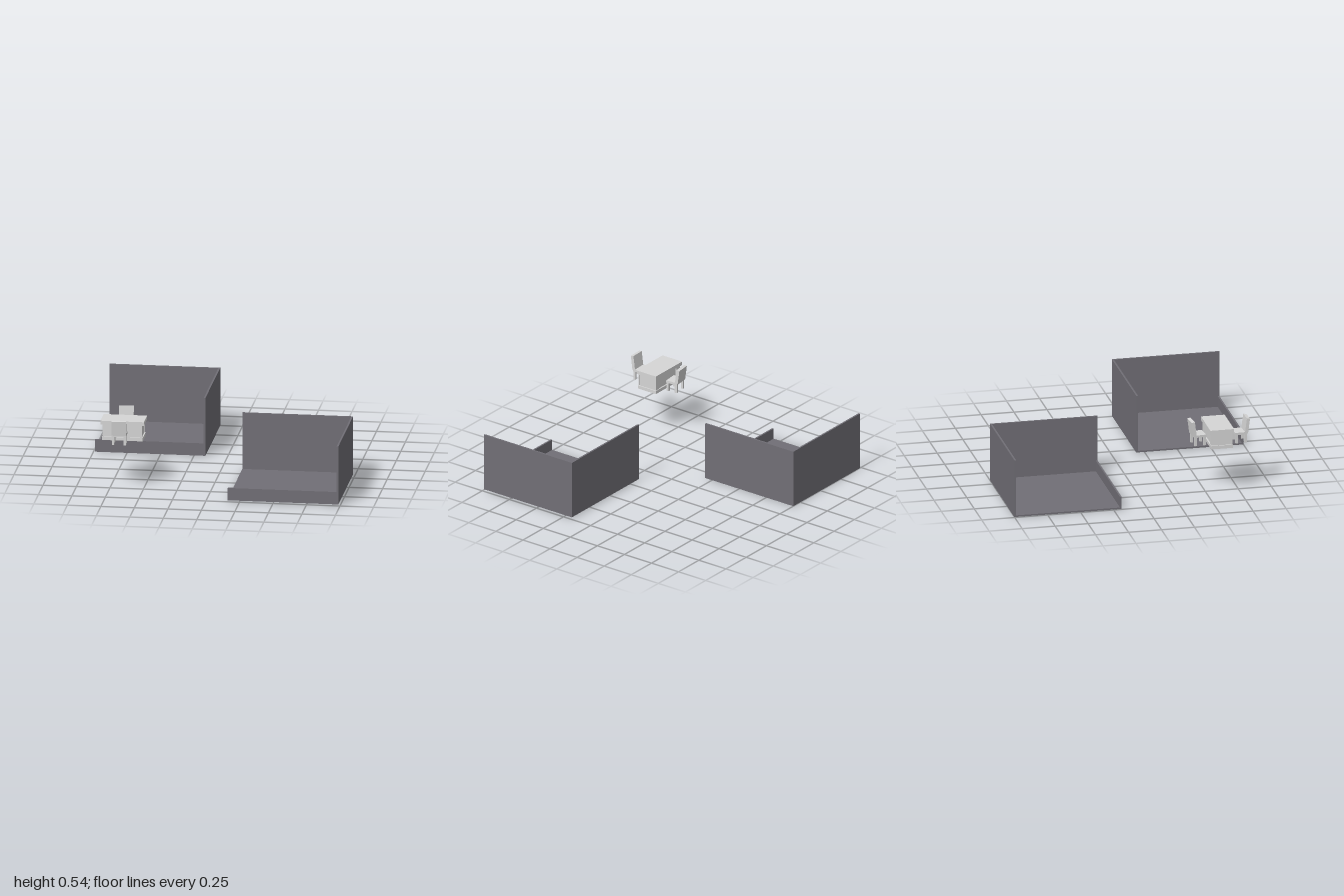
import * as THREE from 'three';

export function createModel() {
  const model = new THREE.Group();
  const slate = new THREE.MeshStandardMaterial({ color: 0x716f76 });
  slate.name = 'slate grey';
  const pale = new THREE.MeshStandardMaterial({ color: 0xd6d6d6 });
  pale.name = 'pale grey';

  // Box given by its min and max corners
  function box(parent, name, material, [x0, y0, z0], [x1, y1, z1]) {
    const mesh = new THREE.Mesh(new THREE.BoxGeometry(x1 - x0, y1 - y0, z1 - z0), material);
    mesh.position.set((x0 + x1) / 2, (y0 + y1) / 2, (z0 + z1) / 2);
    mesh.name = name;
    parent.add(mesh);
    return mesh;
  }

  // Open room: floor, two tall walls and a low front wall; the -x side is open
  function room(name, x, y, z) {
    const g = new THREE.Group();
    g.name = name;
    const w = 0.825, h = 0.445, d = 0.813, t = 0.013;
    box(g, 'floor', slate, [0, 0, 0], [w, 0.012, d]);
    box(g, 'backWall', slate, [0, 0.012, 0], [w - t, h, t]);
    box(g, 'sideWall', slate, [w - t, 0.012, 0], [w, h, d]);
    box(g, 'lowFrontWall', slate, [0, 0.012, d - t], [w - t, 0.095, d]);
    g.position.set(x, y, z);
    model.add(g);
  }
  room('rearRoom', -0.99, 0, -1);
  room('frontRoom', 0.162, 0.01, 0.182);

  // Desk: plinth, body, overhanging top and raised corner panels
  const desk = new THREE.Group();
  desk.name = 'desk';
  desk.position.set(-0.665, 0.35, 0.612);
  model.add(desk);
  box(desk, 'plinth', pale, [-0.152, 0, -0.082], [0.152, 0.025, 0.082]);
  box(desk, 'body', pale, [-0.143, 0.025, -0.072], [0.143, 0.125, 0.072]);
  box(desk, 'deskTop', pale, [-0.162, 0.122, -0.09], [0.162, 0.15, 0.09]);
  for (const sx of [-1, 1]) {
    for (const sz of [-1, 1]) {
      const panel = box(desk, 'cornerPanel', pale, [-0.02, 0.028, -0.005], [0.02, 0.122, 0.005]);
      panel.position.x = sx * 0.127;
      panel.position.z = sz * 0.076;
    }
  }

  // Chair with its leaning backrest on the local +z side
  function chair(name, x, z, turn) {
    const g = new THREE.Group();
    g.name = name;
    box(g, 'seat', pale, [-0.054, 0.065, -0.056], [0.054, 0.083, 0.036]);
    for (const lx of [-0.044, 0.044]) {
      for (const lz of [-0.044, 0.026]) {
        box(g, 'leg', pale, [lx - 0.009, 0, lz - 0.009], [lx + 0.009, 0.066, lz + 0.009]);
      }
    }
    const back = box(g, 'backrest', pale, [-0.054, 0.076, 0.024], [0.054, 0.188, 0.048]);
    back.rotation.x = 0.13;
    back.position.z = 0.038;
    g.position.set(x, 0.35, z);
    g.rotation.y = turn;
    model.add(g);
  }
  chair('frontChair', -0.675, 0.785, 0.04);
  chair('rearChair', -0.668, 0.455, Math.PI + 0.1);

  return model;
}
